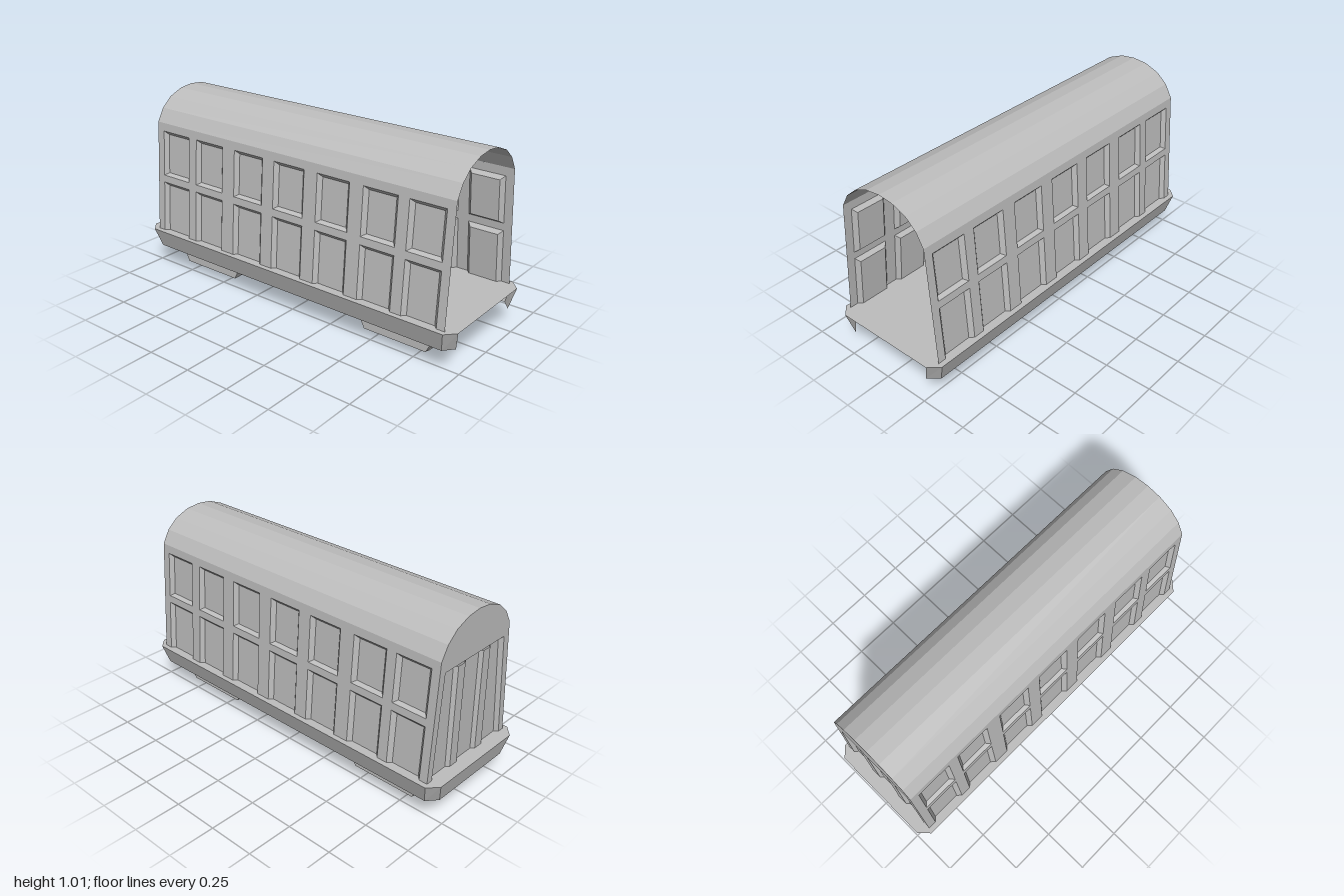
import * as THREE from 'three';

const FRONT = 0.945, BACK = -0.94, BASE = 0.228, EAVE = 0.845;
const wallX = y => 0.305 - 0.0732 * (y - 0.23);

// flat-shaded surface from a list of four-cornered faces
function quadMesh(name, quads, material) {
  const pos = [];
  for (const [a, b, c, d] of quads) pos.push(...a, ...b, ...c, ...a, ...c, ...d);
  const g = new THREE.BufferGeometry();
  g.setAttribute('position', new THREE.Float32BufferAttribute(pos, 3));
  g.computeVertexNormals();
  const m = new THREE.Mesh(g, material);
  m.name = name;
  return m;
}

// mirror faces across x, keeping them facing outwards
const mirrorX = quads => quads.map(q => q.map(([x, y, z]) => [-x, y, z]).reverse());

// side wall with two rows of bevelled recessed panels
function sideWallQuads() {
  const quads = [];
  const p = (y, z, depth = 0) => [wallX(y) - depth, y, z];
  const flat = (y0, y1, z0, z1, d = 0) =>
    quads.push([p(y0, z0, d), p(y0, z1, d), p(y1, z1, d), p(y1, z0, d)]);
  const centres = [0.803, 0.548, 0.275, 0, -0.27, -0.548, -0.798], half = 0.097;
  const depth = 0.02, bevel = 0.02;

  flat(0.51, 0.55, FRONT, BACK);
  flat(0.80, EAVE, FRONT, BACK);
  for (const [y0, y1, sill] of [[BASE, 0.51, 0], [0.55, 0.80, 0.013]]) {
    let edge = FRONT;
    for (const c of centres) {
      const z0 = c + half, z1 = c - half;
      flat(y0, y1, edge, z0);
      edge = z1;
      const outer = [p(y0, z0), p(y0, z1), p(y1, z1), p(y1, z0)];
      const inner = [
        p(y0 + sill, z0 - bevel, depth), p(y0 + sill, z1 + bevel, depth),
        p(y1 - bevel, z1 + bevel, depth), p(y1 - bevel, z0 - bevel, depth)];
      quads.push(inner);
      for (let i = 0; i < 4; i++) {
        const j = (i + 1) % 4;
        quads.push([outer[i], outer[j], inner[j], inner[i]]);
      }
    }
    flat(y0, y1, edge, BACK);
  }
  return quads;
}

export function createModel() {
  const model = new THREE.Group();
  model.name = 'railwayWagon';
  const grey = new THREE.MeshStandardMaterial({ color: 0xbdbdbd, side: THREE.DoubleSide });
  grey.name = 'plain grey';

  // side walls
  const side = sideWallQuads();
  model.add(quadMesh('leftWall', side, grey), quadMesh('rightWall', mirrorX(side), grey));

  // faceted arched roof, open at the front
  const halfArc = [[0.26, EAVE], [0.22, 0.915], [0.16, 0.967], [0.08, 0.999], [0, 1.008]];
  const arc = [...halfArc, ...halfArc.slice(0, -1).reverse().map(([x, y]) => [-x, y])];
  const roof = [];
  for (let i = 0; i < arc.length - 1; i++) {
    const [a, b] = [arc[i], arc[i + 1]];
    roof.push([[...a, FRONT], [...a, BACK], [...b, BACK], [...b, FRONT]]);
  }
  model.add(quadMesh('roof', roof, grey));

  // rear end wall around the doorway
  const wall = [[wallX(BASE), BASE], ...arc, [-wallX(BASE), BASE],
    [-0.27, BASE], [-0.225, 0.78], [0.225, 0.78], [0.27, BASE]];
  const rear = new THREE.Mesh(
    new THREE.ShapeGeometry(new THREE.Shape(wall.map(([x, y]) => new THREE.Vector2(x, y)))), grey);
  rear.name = 'rearWall';
  rear.rotation.y = Math.PI;
  rear.position.z = BACK;
  model.add(rear);

  // bevelled door frame
  const zIn = BACK + 0.02;
  const jamb = [[[0.27, BASE, BACK], [0.255, BASE, zIn], [0.21, 0.765, zIn], [0.225, 0.78, BACK]]];
  const lintel = [[[0.225, 0.78, BACK], [0.21, 0.765, zIn], [-0.21, 0.765, zIn], [-0.225, 0.78, BACK]]];
  model.add(quadMesh('doorFrame', [...jamb, ...mirrorX(jamb), ...lintel], grey));

  // rear door with two raised ribs: bottom x, top x, z
  const zRib = zIn - 0.016;
  const halfDoor = [[0.255, 0.21, zIn], [0.143, 0.14, zIn], [0.127, 0.122, zRib],
    [0.074, 0.07, zRib], [0.057, 0.054, zIn]];
  const cols = [...halfDoor, ...halfDoor.map(([b, t, z]) => [-b, -t, z]).reverse()];
  const door = [];
  for (let i = 0; i < cols.length - 1; i++) {
    const [b0, t0, z0] = cols[i], [b1, t1, z1] = cols[i + 1];
    door.push([[b0, BASE, z0], [b1, BASE, z1], [t1, 0.767, z1], [t0, 0.767, z0]]);
  }
  model.add(quadMesh('rearDoor', door, grey));

  // floor deck with cut corners, and a tapering skirt left open at the front
  const ring = (x, xc, z, zc) => [[xc, z], [x, zc], [x, -zc], [xc, -z],
    [-xc, -z], [-x, -zc], [-x, zc], [-xc, z]];
  const top = ring(0.333, 0.28, 1, 0.95), low = ring(0.3, 0.247, 0.975, 0.93);
  const deck = new THREE.Mesh(
    new THREE.ShapeGeometry(new THREE.Shape(top.map(([x, z]) => new THREE.Vector2(x, -z)))), grey);
  deck.name = 'floor';
  deck.rotation.x = -Math.PI / 2;
  deck.position.y = BASE;
  model.add(deck);
  const skirt = [];
  for (let i = 0; i < 7; i++) {
    const at = ([x, z], y) => [x, y, z];
    skirt.push([at(low[i], 0.123), at(low[i + 1], 0.123), at(top[i + 1], BASE), at(top[i], BASE)]);
  }
  model.add(quadMesh('skirt', skirt, grey));

  // bogie frames and wheels: z,y outlines given thickness along x
  const slab = (name, outline, x0, x1) => {
    const shape = new THREE.Shape(outline.map(([z, y]) => new THREE.Vector2(z, y)));
    const g = new THREE.ExtrudeGeometry(shape, { depth: x1 - x0, bevelEnabled: false });
    g.rotateY(-Math.PI / 2);
    g.translate(x1, 0, 0);
    const m = new THREE.Mesh(g, grey);
    m.name = name;
    return m;
  };
  const frame = [[0.40, 0.135], [0.40, 0.11], [0.44, 0.03], [0.80, 0.03], [0.83, 0.09], [0.83, 0.135]];
  const wheel = [[0.64, 0.10], [0.64, 0.045], [0.68, 0], [0.78, 0], [0.82, 0.045],
    [0.82, 0.10], [0.78, 0.145], [0.68, 0.145]];
  for (const sz of [1, -1]) {
    const flip = pts => pts.map(([z, y]) => [z * sz, y]);
    for (const sx of [1, -1]) {
      const span = (a, b) => (sx > 0 ? [a, b] : [-b, -a]);
      model.add(slab('bogieFrame', flip(frame), ...span(0.167, 0.222)));
      model.add(slab('wheel', flip(wheel), ...span(0.12, 0.163)));
    }
  }
  return model;
}
